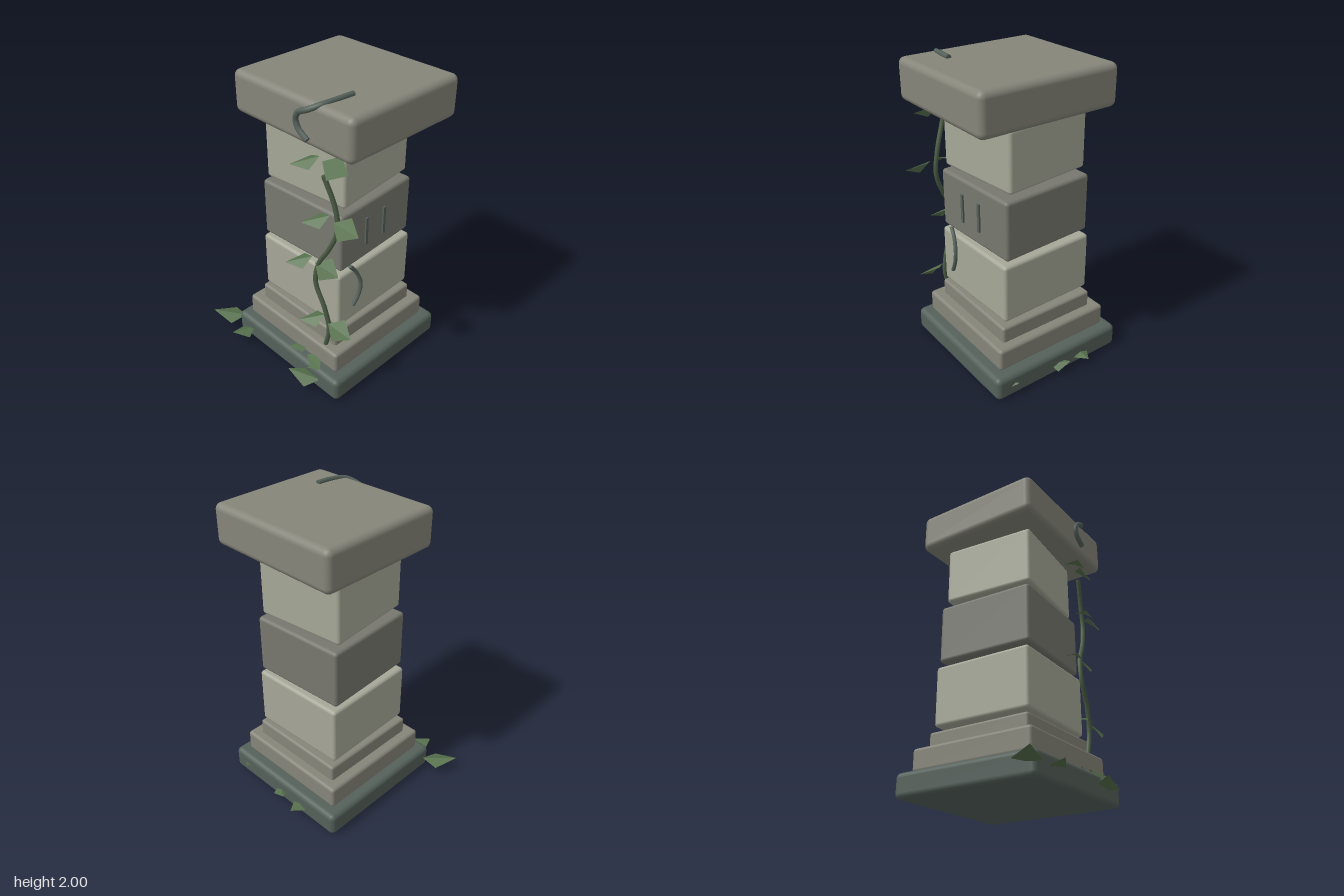
import * as THREE from 'three';
import { RoundedBoxGeometry } from 'three/addons/geometries/RoundedBoxGeometry.js';

const mat = (name, color, extra = {}) => {
  const m = new THREE.MeshStandardMaterial({ color, ...extra });
  m.name = name;
  return m;
};

export function createModel() {
  const group = new THREE.Group();
  const lightStone = mat('light stone', 0xa6a898);
  const stone = mat('stone', 0x85857a);
  const darkStone = mat('dark stone', 0x77786f);
  const mossStone = mat('mossy stone', 0x55615b);
  const vineGreen = mat('vine green', 0x4a5c44);
  const leafGreen = mat('leaf green', 0x56704c, { side: THREE.DoubleSide, flatShading: true });

  const add = (name, geometry, material) => {
    const mesh = new THREE.Mesh(geometry, material);
    mesh.name = name;
    group.add(mesh);
    return mesh;
  };

  // Stone slabs: name, material, x range, y range, z range, corner radius
  const slabs = [
    ['baseSlab', mossStone, -0.43, 0.545, 0.005, 0.165, -0.515, 0.46, 0.035],
    ['lowerStep', stone, -0.365, 0.475, 0.165, 0.315, -0.445, 0.395, 0.022],
    ['upperStep', stone, -0.295, 0.405, 0.3, 0.42, -0.38, 0.33, 0.018],
    ['capSlab', stone, -0.365, 0.587, 1.715, 1.98, -0.463, 0.405, 0.042],
  ];
  for (const [name, m, x0, x1, y0, y1, z0, z1, r] of slabs) {
    add(name, new RoundedBoxGeometry(x1 - x0, y1 - y0, z1 - z0, 4, r), m)
      .position.set((x0 + x1) / 2, (y0 + y1) / 2, (z0 + z1) / 2);
  }

  // Shaft blocks, each twisted a little more: width, bottom, top, twist
  const blocks = [
    ['lowerBlock', lightStone, 0.672, 0.45, 0.845, 0.03],
    ['middleBlock', darkStone, 0.652, 0.875, 1.265, 0.055],
    ['upperBlock', lightStone, 0.61, 1.3, 1.69, 0.1],
  ];
  for (const [name, m, w, y0, y1, twist] of blocks) {
    const block = add(name, new RoundedBoxGeometry(w, y1 - y0, w, 4, 0.022), m);
    block.position.set(0.056, (y0 + y1) / 2, -0.026);
    block.rotation.y = twist;
  }

  // Chiselled marks on the middle block
  for (const z of [0.06, -0.105]) {
    const mark = add('chiselMark', new THREE.BoxGeometry(0.03, 0.19, 0.02), mossStone);
    mark.position.set(0.38 + z * 0.055, 1.07, z);
    mark.rotation.y = 0.055;
  }

  // Vines and roots as tubes with closed ends
  const vine = (name, points, radius, material) => {
    const path = points.map((p) => new THREE.Vector3(...p));
    add(name, new THREE.TubeGeometry(new THREE.CatmullRomCurve3(path), 48, radius, 8), material);
    const ends = [[path[0], path[1]], [path.at(-1), path.at(-2)]];
    for (const [end, next] of ends) {
      const cap = add(name + 'End', new THREE.CircleGeometry(radius, 8), material);
      cap.position.copy(end);
      cap.lookAt(end.clone().multiplyScalar(2).sub(next));
    }
  };
  vine('mainVine', [
    [0.345, 0.31, 0.355], [0.375, 0.46, 0.355], [0.345, 0.62, 0.365], [0.275, 0.79, 0.372],
    [0.29, 0.93, 0.36], [0.36, 1.06, 0.345], [0.413, 1.21, 0.328], [0.395, 1.36, 0.33], [0.33, 1.55, 0.355],
  ], 0.015, vineGreen);
  vine('sideRoot', [
    [0.395, 0.88, 0.2], [0.405, 0.82, 0.155], [0.418, 0.73, 0.125], [0.418, 0.65, 0.138], [0.41, 0.57, 0.18],
  ], 0.013, mossStone);
  vine('capRoot', [
    [0.37, 1.985, 0.175], [0.362, 1.985, 0.27], [0.335, 1.975, 0.375], [0.28, 1.945, 0.425],
    [0.22, 1.915, 0.43], [0.193, 1.865, 0.425], [0.213, 1.815, 0.425], [0.28, 1.77, 0.425],
  ], 0.017, mossStone);

  // Folded kite leaf from base to tip, with its ridge towards the facing direction
  const leaf = (base, tip, facing, halfWidth) => {
    const b = new THREE.Vector3(...base);
    const t = new THREE.Vector3(...tip);
    const along = t.clone().sub(b);
    const side = along.clone().cross(new THREE.Vector3(...facing)).normalize();
    const up = side.clone().cross(along).normalize();
    const corner = (s) => b.clone().addScaledVector(along, 0.38)
      .addScaledVector(side, s * halfWidth).addScaledVector(up, -0.025);
    const geometry = new THREE.BufferGeometry().setFromPoints([b, corner(1), t, b, t, corner(-1)]);
    geometry.computeVertexNormals();
    add('leaf', geometry, leafGreen);
  };

  // Leaf pairs climbing the main vine: right base, left base
  const pairs = [
    [0.335, 1.645, 0.295, 1.655],
    [0.42, 1.29, 0.375, 1.31],
    [0.27, 0.93, 0.225, 0.945],
    [0.38, 0.515, 0.335, 0.55],
  ];
  for (const [rx, ry, lx, ly] of pairs) {
    leaf([rx, ry, 0.37], [rx + 0.187, ry - 0.015, 0.36], [0, 0.75, 0.7], 0.078);
    leaf([lx, ly, 0.35], [lx - 0.135, ly - 0.065, 0.45], [-0.4, 0.6, 0.5], 0.065);
  }

  // Leaves on the step and around the base
  leaf([0.2, 0.205, 0.39], [0.085, 0.17, 0.44], [0, 0.8, 0.6], 0.045);
  leaf([0.24, 0.19, 0.42], [0.39, 0.175, 0.45], [0, 0.8, 0.6], 0.06);
  leaf([0.39, 0.09, 0.45], [0.2, 0.13, 0.555], [0.1, 1, 0.1], 0.075);
  leaf([-0.43, 0.09, 0.4], [-0.615, 0.112, 0.547], [-0.1, 1, 0.15], 0.082);
  leaf([-0.29, 0.09, 0.44], [-0.345, 0.1, 0.59], [-0.2, 1, 0.1], 0.076);
  leaf([-0.12, 0.09, -0.43], [-0.12, 0.075, -0.597], [0, 1, -0.1], 0.075);
  leaf([0.12, 0.08, -0.48], [0, 0.09, -0.555], [0, 1, -0.2], 0.055);
  leaf([0.44, 0.1, -0.45], [0.4, 0.1, -0.535], [0, 1, 0], 0.05);

  return group;
}
